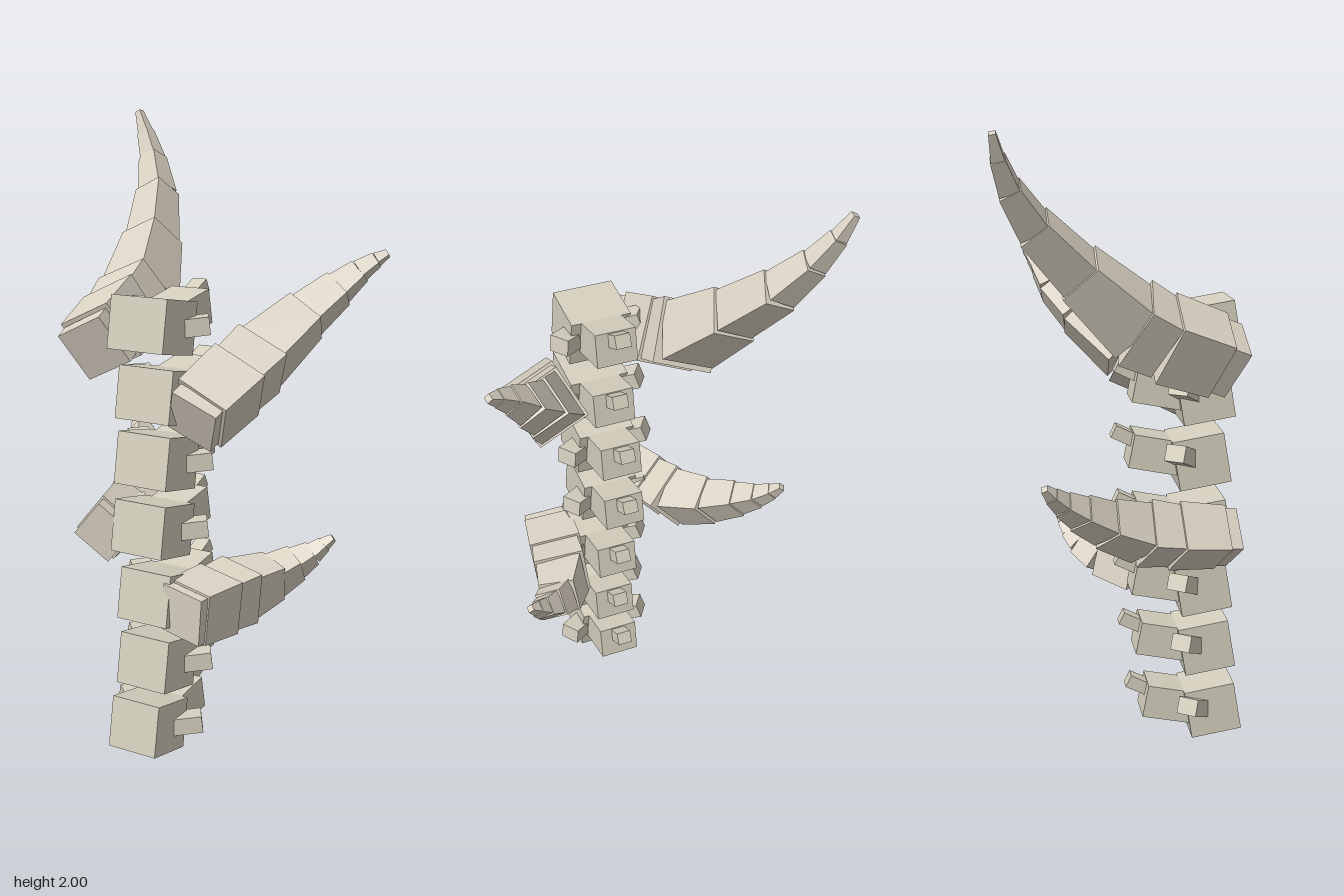
import * as THREE from 'three';

const spineBone = new THREE.MeshStandardMaterial({ color: 0xd4cfbd });
spineBone.name = 'spineBone';
const spikeBone = new THREE.MeshStandardMaterial({ color: 0xdad2c3 });
spikeBone.name = 'spikeBone';

// Tapered block running from a to b; side is the hint for its width direction
function block(name, material, a, b, side, w0, h0, w1 = w0, h1 = h0) {
  const from = new THREE.Vector3(...a), to = new THREE.Vector3(...b);
  const axis = to.clone().sub(from);
  const length = axis.length();
  axis.normalize();
  const u = new THREE.Vector3(...side);
  u.addScaledVector(axis, -u.dot(axis)).normalize();
  const v = new THREE.Vector3().crossVectors(axis, u);
  const geo = new THREE.BoxGeometry(1, 1, length);
  const p = geo.attributes.position;
  for (let i = 0; i < p.count; i++) {
    const end = p.getZ(i) > 0;
    p.setX(i, p.getX(i) * (end ? w1 : w0));
    p.setY(i, p.getY(i) * (end ? h1 : h0));
  }
  geo.computeVertexNormals();
  const mesh = new THREE.Mesh(geo, material);
  mesh.name = name;
  mesh.quaternion.setFromRotationMatrix(new THREE.Matrix4().makeBasis(u, v, axis));
  mesh.position.copy(from).add(to).multiplyScalar(0.5);
  return mesh;
}

function tiltedBox(name, size, position, tilt) {
  const mesh = new THREE.Mesh(new THREE.BoxGeometry(...size), spineBone);
  mesh.name = name;
  mesh.position.set(...position);
  mesh.rotation.x = tilt;
  return mesh;
}

// One vertebra: body, arch, rear knob and two swept side knobs
function vertebra(x, y, z, width) {
  const g = new THREE.Group();
  g.name = 'vertebra';
  g.position.set(x, y, z);
  g.add(
    tiltedBox('vertebraBody', [width, 0.163, 0.168], [0, 0, 0], -0.17),
    tiltedBox('vertebraArch', [0.135, 0.11, 0.16], [0, 0.02, -0.145], 0.19),
    tiltedBox('rearKnob', [0.05, 0.043, 0.09], [0, 0.072, -0.236], 0.45),
    block('leftKnob', spineBone, [0.04, -0.012, -0.025], [0.143, 0.002, -0.095], [0.57, 0, 0.82], 0.068, 0.055),
    block('rightKnob', spineBone, [-0.04, -0.005, -0.025], [-0.14, 0.043, -0.095], [0.57, 0, -0.82], 0.068, 0.055),
  );
  return g;
}

// Curved spike: a chain of shrinking blocks behind a slightly narrower root block
function spike(name, side, joints, sizes) {
  const g = new THREE.Group();
  g.name = name;
  for (let i = 0; i < joints.length - 1; i++) {
    const s0 = sizes[i] * (i < 2 ? 1 : 0.94);
    const s1 = i === 0 ? s0 : sizes[i + 1] * 1.04;
    g.add(block(i === 0 ? 'spikeRoot' : 'spikeSegment', spikeBone, joints[i], joints[i + 1], side, s0, s0, s1, s1));
  }
  return g;
}

export function createModel() {
  const model = new THREE.Group();
  model.name = 'spinedBackbone';

  // Spine column, bottom to top: x, y, z of each body centre and its width
  const spine = new THREE.Group();
  spine.name = 'spine';
  [
    [-0.013, 0.1, 0.31, 0.175],
    [0.01, 0.315, 0.29, 0.18],
    [0.006, 0.525, 0.275, 0.183],
    [-0.018, 0.74, 0.268, 0.187],
    [-0.005, 0.958, 0.262, 0.19],
    [0.014, 1.168, 0.275, 0.195],
    [0, 1.382, 0.288, 0.2],
  ].forEach((v) => spine.add(vertebra(...v)));
  model.add(spine);

  // Four back-swept spikes, alternating sides
  model.add(
    spike('upperRightSpike', [0.9, 0.42, 0], [
      [-0.18, 1.3, 0.34], [-0.19, 1.32, 0.29], [-0.215, 1.38, 0.125], [-0.225, 1.43, 0.03],
      [-0.29, 1.59, -0.145], [-0.36, 1.73, -0.28], [-0.425, 1.84, -0.35], [-0.475, 1.925, -0.382],
      [-0.512, 1.995, -0.397],
    ], [0.17, 0.195, 0.2, 0.198, 0.137, 0.1, 0.066, 0.042, 0.02]),
    spike('upperLeftSpike', [0.9, -0.45, 0], [
      [0.175, 1.115, 0.345], [0.18, 1.135, 0.305], [0.215, 1.215, 0.15], [0.235, 1.265, 0.05],
      [0.315, 1.385, -0.1], [0.385, 1.465, -0.18], [0.44, 1.52, -0.215], [0.483, 1.555, -0.242],
      [0.512, 1.575, -0.262],
    ], [0.155, 0.178, 0.182, 0.175, 0.125, 0.09, 0.06, 0.038, 0.02]),
    spike('lowerRightSpike', [0.65, 0.75, 0], [
      [-0.15, 0.72, 0.35], [-0.16, 0.725, 0.31], [-0.195, 0.745, 0.16], [-0.22, 0.765, 0.06],
      [-0.285, 0.82, -0.065], [-0.345, 0.875, -0.15], [-0.383, 0.915, -0.205], [-0.415, 0.95, -0.24],
      [-0.435, 0.978, -0.263],
    ], [0.14, 0.155, 0.16, 0.157, 0.115, 0.085, 0.058, 0.038, 0.02]),
    spike('lowerLeftSpike', [0.98, -0.12, 0], [
      [0.145, 0.51, 0.36], [0.15, 0.512, 0.33], [0.175, 0.515, 0.185], [0.195, 0.52, 0.09],
      [0.25, 0.54, -0.03], [0.3, 0.575, -0.09], [0.34, 0.605, -0.125], [0.37, 0.635, -0.148],
      [0.395, 0.657, -0.163],
    ], [0.155, 0.165, 0.17, 0.165, 0.115, 0.085, 0.058, 0.038, 0.02]),
  );
  return model;
}
